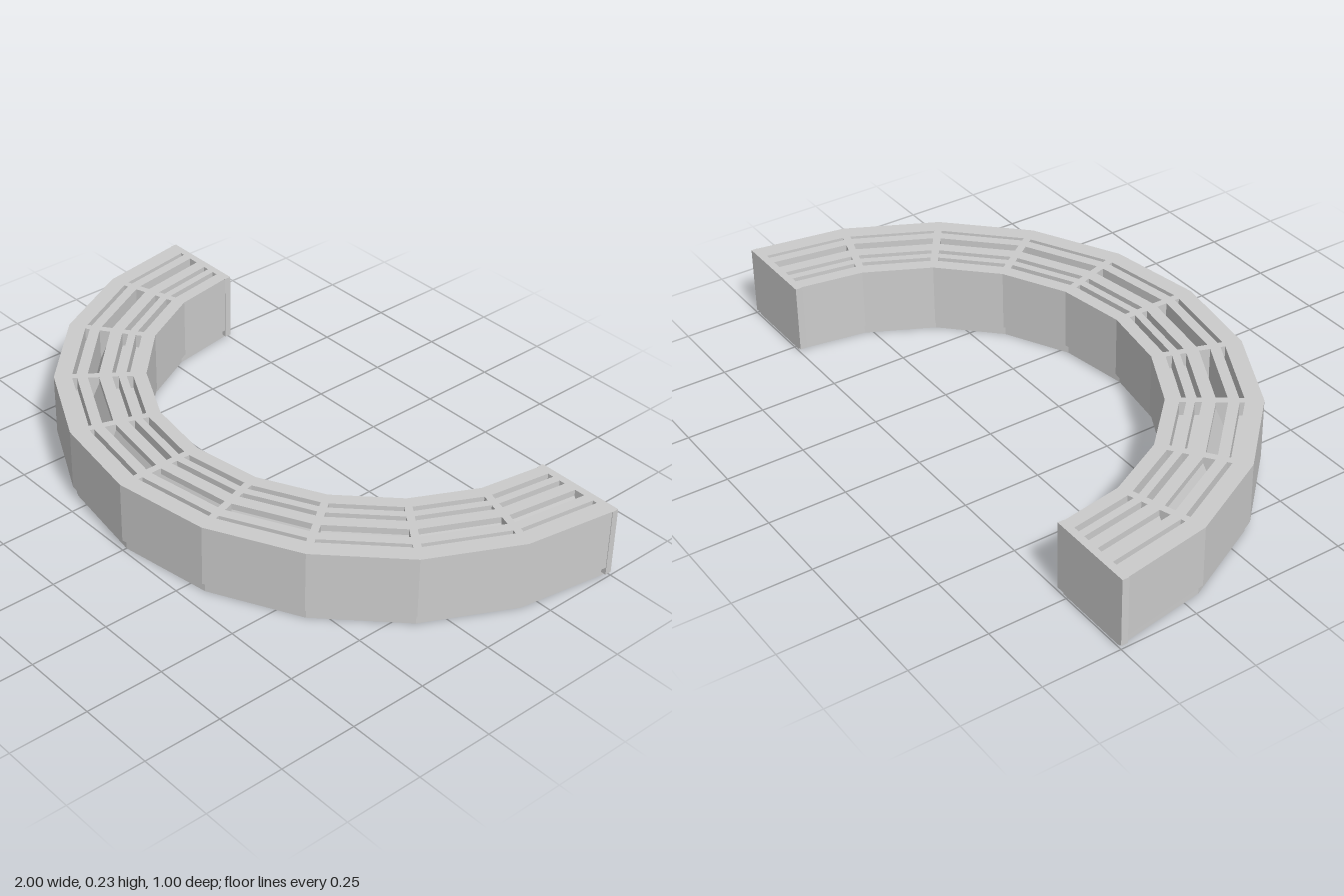
import * as THREE from 'three';

const SEGMENTS = 10, TOP = 0.235, FLOOR_LAYER = 0.1;
const STEP = Math.PI / SEGMENTS;
const material = new THREE.MeshStandardMaterial({ color: 0xcccccc, flatShading: true });
const floorMaterial = new THREE.MeshStandardMaterial({ color: 0xcccccc, flatShading: true, side: THREE.DoubleSide });

// Slot rows: inner radius, outer radius, floor height at inner and outer edge
const SLOTS = [
  [0.757, 0.777, 0.19, 0.19],
  [0.802, 0.822, 0.19, 0.19],
  [0.862, 0.897, 0.215, 0.13],
  [0.93, 0.945, 0.19, 0.19],
];

const onRing = (r, i) => new THREE.Vector2(r * Math.cos(i * STEP), r * Math.sin(i * STEP) - 0.5);

// Half ring outline with faceted sides
function ringShape(inner, outer, back) {
  const points = [];
  for (let i = 0; i <= SEGMENTS; i++) points.push(onRing(outer, i));
  for (let i = SEGMENTS; i >= 0; i--) points.push(onRing(inner, i));
  points.forEach((p) => { p.y = Math.max(p.y, back); });
  return new THREE.Shape(points);
}

// Four plan corners of one slot, kept clear of the cross bars and end plates
function slotCorners(i, inner, outer) {
  const corner = (r, from, to) => {
    const a = onRing(r, from), b = onRing(r, to);
    const gap = from === 0 || from === SEGMENTS ? 0.024 : 0.012;
    return a.lerp(b, gap / a.distanceTo(b));
  };
  return [corner(inner, i, i + 1), corner(outer, i, i + 1), corner(outer, i + 1, i), corner(inner, i + 1, i)];
}

// Extrude a plan shape between two heights
function slab(name, shape, bottom, top) {
  const geometry = new THREE.ExtrudeGeometry(shape, { depth: top - bottom, bevelEnabled: false });
  geometry.rotateX(Math.PI / 2);
  geometry.translate(0, top, 0);
  const mesh = new THREE.Mesh(geometry, material);
  mesh.name = name;
  return mesh;
}

export function createModel() {
  const model = new THREE.Group();
  model.name = 'curvedGrilleBench';

  // Recessed plinth and solid lower body
  model.add(slab('plinth', ringShape(0.73, 0.986, -0.495), 0, 0.036));
  model.add(slab('lowerBody', ringShape(0.714, 1, -0.49), 0.036, FLOOR_LAYER));

  // Slotted upper body
  const grille = ringShape(0.714, 1, -0.49);
  const floors = [];
  for (let i = 0; i < SEGMENTS; i++) {
    for (const [inner, outer, yInner, yOuter] of SLOTS) {
      const corners = slotCorners(i, inner, outer);
      grille.holes.push(new THREE.Path(corners));
      const [a, b, c, d] = corners.map((p, k) =>
        [p.x, k === 0 || k === 3 ? yInner : yOuter, p.y]);
      floors.push(...a, ...c, ...b, ...a, ...d, ...c);
    }
  }
  model.add(slab('slottedBody', grille, FLOOR_LAYER, TOP));

  // Slot floors, with the wide row sloping outwards
  const floorGeometry = new THREE.BufferGeometry();
  floorGeometry.setAttribute('position', new THREE.Float32BufferAttribute(floors, 3));
  floorGeometry.computeVertexNormals();
  const floorMesh = new THREE.Mesh(floorGeometry, floorMaterial);
  floorMesh.name = 'slotFloors';
  model.add(floorMesh);

  // End plates
  for (const [side, name] of [[1, 'leftEndPlate'], [-1, 'rightEndPlate']]) {
    const plate = new THREE.Mesh(new THREE.BoxGeometry(0.29, TOP - 0.012, 0.022), material);
    plate.position.set(side * 0.855, (TOP + 0.012) / 2, -0.489);
    plate.name = name;
    model.add(plate);
  }
  return model;
}
